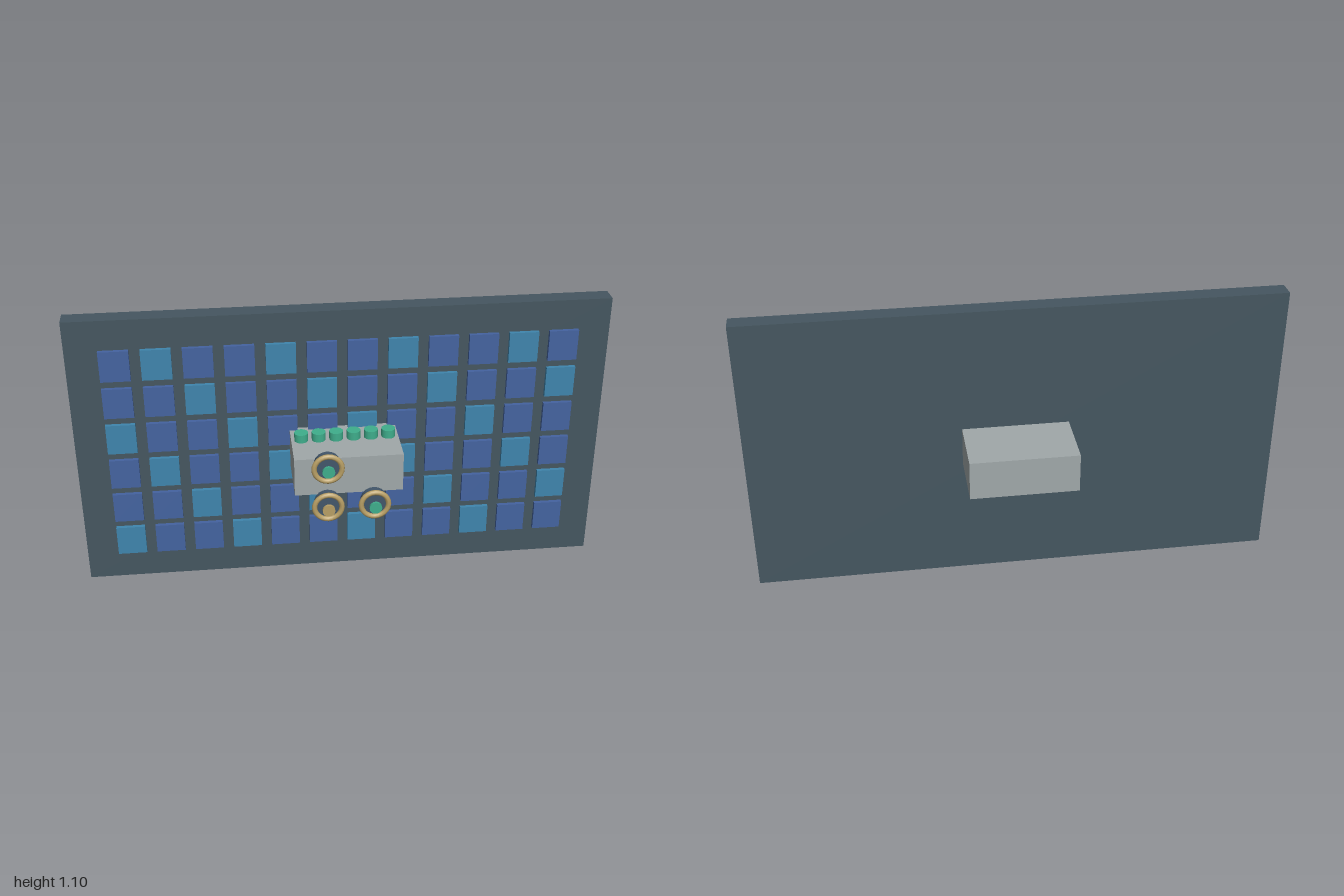
import * as THREE from 'three';

const mat = (name, color) => {
  const m = new THREE.MeshStandardMaterial({ color });
  m.name = name;
  return m;
};

export function createModel() {
  const slate = mat('slate', 0x455660);
  const blue = mat('blue', 0x4463a0);
  const cyan = mat('cyan', 0x3f85ad);
  const grey = mat('grey', 0xa0a8a9);
  const green = mat('green', 0x3fae8c);
  const tan = mat('tan', 0xb89f65);
  const hubDark = mat('dark slate', 0x42566a);

  const model = new THREE.Group();
  model.name = 'wallPanel';
  const add = (parent, name, geometry, material, x, y, z) => {
    const mesh = new THREE.Mesh(geometry, material);
    mesh.name = name;
    mesh.position.set(x, y, z);
    parent.add(mesh);
    return mesh;
  };

  // Backing panel and the housing passing through it
  add(model, 'panel', new THREE.BoxGeometry(2, 1.1, 0.07), slate, 0, 0.55, -0.055);
  add(model, 'housing', new THREE.BoxGeometry(0.4, 0.15, 0.55), grey, 0, 0.552, -0.055);

  // Grid of tiles with diagonal runs of a lighter colour
  const tiles = new THREE.Group();
  tiles.name = 'tiles';
  model.add(tiles);
  const tileGeo = new THREE.BoxGeometry(0.11, 0.12, 0.015);
  for (let row = 0; row < 6; row++) {
    for (let col = 0; col < 12; col++) {
      const light = (col - row + 6) % 3 === 1;
      add(tiles, 'tile', tileGeo, light ? cyan : blue,
        -0.825 + col * 0.15, 0.926 - row * 0.15, -0.0085);
    }
  }

  // Row of pegs on top of the housing
  const pegs = new THREE.Group();
  pegs.name = 'pegs';
  model.add(pegs);
  const pegGeo = new THREE.CylinderGeometry(0.026, 0.026, 0.032, 14);
  for (let i = 0; i < 6; i++) {
    add(pegs, 'peg', pegGeo, green, -0.1625 + i * 0.065, 0.643, 0.075);
  }

  // Round knobs: dark body, tan ring and a small floating cap
  const bodyGeo = new THREE.CylinderGeometry(0.048, 0.048, 0.04, 18).rotateX(Math.PI / 2);
  const ringGeo = new THREE.TorusGeometry(0.05, 0.01, 8, 24);
  const capGeo = new THREE.CylinderGeometry(0.023, 0.023, 0.01, 16).rotateX(Math.PI / 2);
  const knobs = [[-0.085, 0.632, green], [-0.085, 0.472, tan], [0.085, 0.472, green]];
  for (const [x, y, capMaterial] of knobs) {
    const knob = new THREE.Group();
    knob.name = 'knob';
    knob.position.set(x, y, 0);
    model.add(knob);
    add(knob, 'knobBody', bodyGeo, hubDark, 0, 0, 0.28);
    add(knob, 'knobRing', ringGeo, tan, 0, 0, 0.302);
    add(knob, 'knobCap', capGeo, capMaterial, 0, 0, 0.325);
  }

  return model;
}
